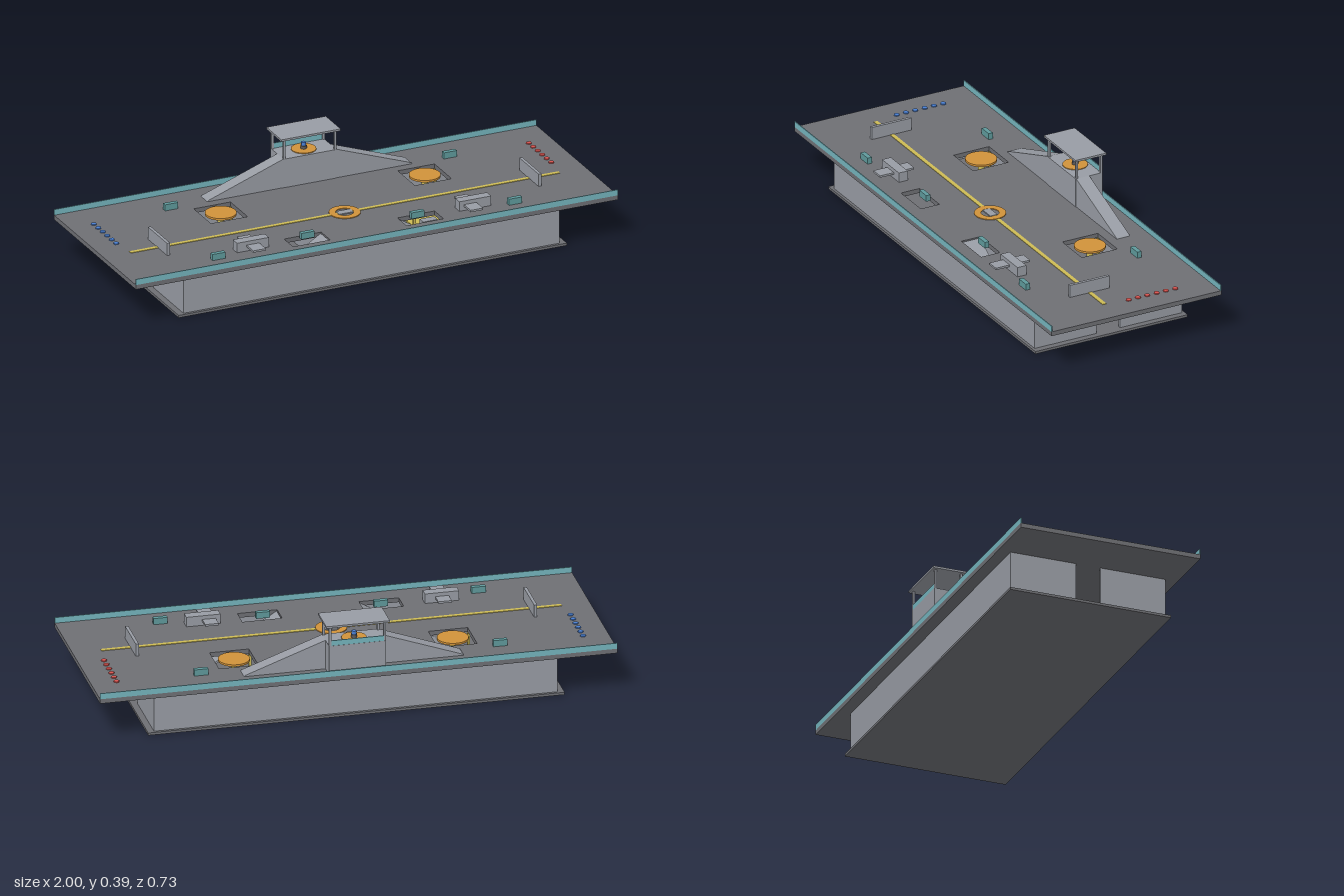
import * as THREE from 'three';

const mat = (name, color) => Object.assign(new THREE.MeshStandardMaterial({ color }), { name });
const M = {
  deck: mat('deck grey', 0x6e6f74),
  hull: mat('hull grey', 0x989ca4),
  rail: mat('rail teal', 0x74b4bd),
  crate: mat('crate teal', 0x5f9a9c),
  yellow: mat('marking yellow', 0xcdbb55),
  orange: mat('pad orange', 0xd0923a),
  red: mat('team red', 0xd9544f),
  blue: mat('team blue', 0x4a80d4),
  dark: mat('pedestal grey', 0x5c5a5a),
};

const DECK = 0.185, FLOOR = 0.01;

export function createModel() {
  const root = new THREE.Group();
  root.name = 'carrierPlatform';

  const add = (name, geo, material, x = 0, y = 0, z = 0) => {
    const m = new THREE.Mesh(geo, material);
    m.name = name;
    m.position.set(x, y, z);
    root.add(m);
    return m;
  };
  // Box given by its extents on each axis
  const box = (name, material, [x0, x1], [y0, y1], [z0, z1]) =>
    add(name, new THREE.BoxGeometry(x1 - x0, y1 - y0, z1 - z0), material,
      (x0 + x1) / 2, (y0 + y1) / 2, (z0 + z1) / 2);
  const around = (c, half) => [c - half, c + half];
  // Disc standing on height y
  const disc = (name, material, r, h, x, y, z, sides = 24) =>
    add(name, new THREE.CylinderGeometry(r, r, h, sides), material, x, y + h / 2, z);

  // Deck plate with lift shafts and ramp wells cut through
  const rect = (Type, cx, cz, hx, hz) => {
    const p = new Type();
    p.moveTo(cx - hx, cz - hz);
    p.lineTo(cx + hx, cz - hz);
    p.lineTo(cx + hx, cz + hz);
    p.lineTo(cx - hx, cz + hz);
    p.closePath();
    return p;
  };
  const plate = rect(THREE.Shape, 0, 0, 1, 0.365);
  for (const s of [-1, 1]) {
    plate.holes.push(rect(THREE.Path, s * 0.423, -0.118, 0.076, 0.076));
    plate.holes.push(rect(THREE.Path, s * 0.235, 0.247, 0.077, 0.04));
  }
  const deckGeo = new THREE.ExtrudeGeometry(plate, { depth: 0.018, bevelEnabled: false });
  deckGeo.rotateX(Math.PI / 2);
  add('deck', deckGeo, M.deck, 0, DECK, 0);

  // Base slab and hollow hull, each end open in the middle
  box('baseSlab', M.deck, [-0.805, 0.805], [0, FLOOR], [-0.327, 0.327]);
  const hullY = [FLOOR, 0.167];
  for (const s of [-1, 1]) {
    box('hullSideWall', M.hull, [-0.78, 0.78], hullY, around(s * 0.311, 0.005));
    for (const t of [-1, 1])
      box('hullEndWall', M.hull, around(s * 0.775, 0.005), hullY, around(t * 0.178, 0.128));
    box('deckRail', M.rail, [-1, 1], [DECK, 0.208], around(s * 0.363, 0.002));
  }
  box('innerBlock', M.hull, [-0.12, 0.12], [FLOOR, 0.118], [-0.12, 0.12]);

  // Parts found on both halves of the deck
  for (const s of [-1, 1]) {
    const lx = s * 0.423, lz = -0.118;
    // Lift shaft: floor pad, corner posts, round platform on a thin column
    box('liftPad', M.yellow, around(lx, 0.08), [FLOOR, 0.016], around(lz, 0.08));
    for (const a of [-1, 1])
      for (const b of [-1, 1])
        box('liftPost', M.yellow, around(lx + a * 0.081, 0.0045), hullY, around(lz + b * 0.081, 0.0045));
    disc('liftColumn', M.yellow, 0.012, 0.165, lx, 0.014, lz, 12);
    disc('liftPlatform', M.orange, 0.06, 0.008, lx, 0.179, lz, 32);

    // Ramp going down outwards from the well
    const ramp = box('wellRamp', M.hull, around(s * 0.305, 0.17), around(0.091, 0.004), around(0.247, 0.039));
    ramp.rotation.z = -s * 0.53;

    // Barrier across the runway line
    box('barrier', M.hull, around(s * 0.77, 0.006), [DECK, 0.235], [-0.008, 0.163]);

    // Emplacement with a flat bar through it
    box('emplacement', M.hull, around(s * 0.461, 0.066), [DECK, 0.224], [0.212, 0.25]);
    box('emplacementBar', M.hull, around(s > 0 ? 0.44 : -0.461, 0.026), [0.201, 0.209], [0.163, 0.309]);

    // Cover crates
    for (const [x, z] of [[0.578, -0.23], [0.615, 0.269], [0.228, 0.231]])
      box('crate', M.crate, around(s * x, 0.027), [DECK, 0.21], around(z, 0.009));

    // Team markers on deck and on the hull floor
    const team = s > 0 ? M.red : M.blue;
    for (let i = 0; i < 6; i++) {
      disc('deckMarker', team, 0.011, 0.004, s * 0.902, DECK, -0.22 + i * 0.04, 8);
      disc('floorMarker', team, 0.011, 0.005, s * 0.7, FLOOR, -0.1 + i * 0.04, 8);
    }
    box('floorCrate', M.hull, around(s * 0.4, 0.03), [FLOOR, 0.04], [-0.05, -0.018]);

    // Solid ramp climbing to the tower
    const side = new THREE.Shape();
    side.moveTo(0.1, 0);
    side.lineTo(0.425, 0);
    side.lineTo(0.42, 0.005);
    side.lineTo(0.11, 0.117);
    side.lineTo(0.1, 0.117);
    side.closePath();
    const wedge = new THREE.ExtrudeGeometry(side, { depth: 0.056, bevelEnabled: false });
    wedge.translate(0, 0, -0.028);
    if (s < 0) wedge.rotateY(Math.PI);
    add('towerRamp', wedge, M.hull, 0, DECK, -0.26);
  }

  // Runway line with centre ring and plate
  box('runwayLine', M.yellow, [-0.89, 0.89], [DECK, 0.187], around(0.077, 0.008));
  const ringShape = new THREE.Shape().absarc(0, 0, 0.06, 0, Math.PI * 2);
  ringShape.holes.push(new THREE.Path().absarc(0, 0, 0.034, 0, Math.PI * 2));
  const ring = new THREE.ExtrudeGeometry(ringShape, { depth: 0.003, bevelEnabled: false, curveSegments: 24 });
  ring.rotateX(-Math.PI / 2);
  add('centreRing', ring, M.orange, 0, DECK, 0.077);
  box('centrePlate', M.hull, [-0.03, 0.03], [DECK, 0.189], around(0.077, 0.015));

  // Tower block, posts, roof and back rail
  box('towerBlock', M.hull, [-0.11, 0.11], [DECK, 0.302], [-0.345, -0.23]);
  for (const x of [-0.106, 0.106])
    for (const z of [-0.236, -0.34])
      box('roofPost', M.hull, around(x, 0.0045), [0.302, 0.379], around(z, 0.0045));
  box('towerRoof', M.hull, [-0.123, 0.123], [0.379, 0.387], [-0.354, -0.222]);
  box('towerRail', M.rail, [-0.11, 0.11], [0.302, 0.323], [-0.344, -0.34]);

  // Control point under the roof
  disc('controlPad', M.orange, 0.048, 0.003, 0, 0.302, -0.288);
  disc('controlPedestal', M.dark, 0.012, 0.013, 0, 0.304, -0.288, 16);
  disc('controlCap', M.blue, 0.009, 0.014, 0, 0.317, -0.288, 12);

  return root;
}
